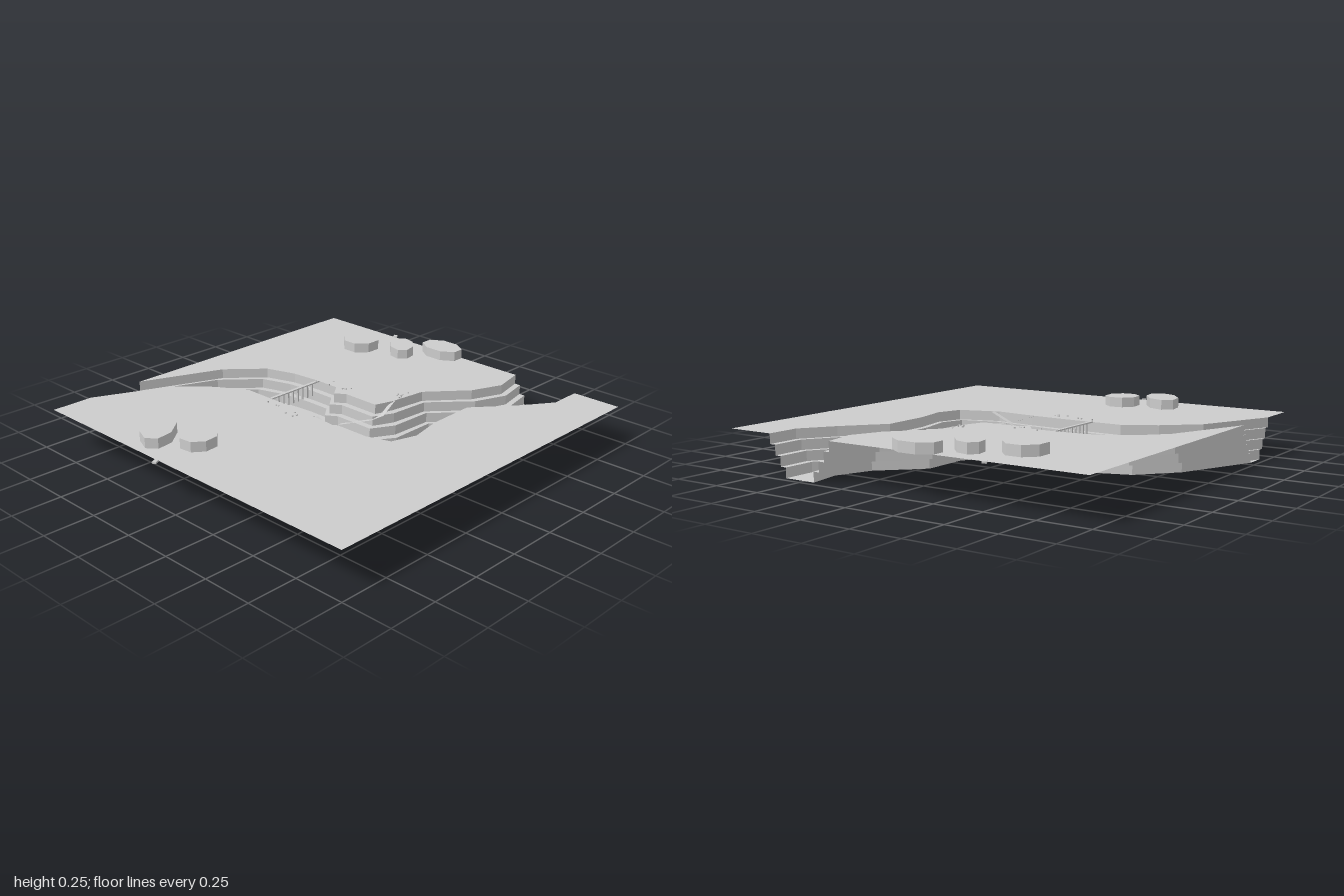
import * as THREE from 'three';

const TOP = 0.195, STEPS = 4, RISE = TOP / STEPS, EDGE = 0.965;
const stone = new THREE.MeshStandardMaterial({ color: 0xcccccc, side: THREE.DoubleSide });
stone.name = 'pale stone';

// Each bank station: inner foot x, z and outer rim x, z
const northBank = [
  [-0.965, 0.545, -0.965, 0.45], [-0.795, 0.15, -0.795, 0.04], [-0.635, -0.03, -0.635, -0.13],
  [-0.48, -0.08, -0.48, -0.18], [-0.32, -0.095, -0.32, -0.195], [-0.2, -0.095, -0.195, -0.195],
  [-0.145, -0.03, -0.145, -0.13], [-0.085, -0.065, -0.095, -0.165], [0.14, -0.065, 0.1, -0.165],
  [0.22, -0.19, 0.13, -0.26], [0.22, -0.43, 0.155, -0.45], [0.41, -0.62, 0.32, -0.64],
  [0.475, -0.8, 0.385, -0.8], [0.445, -0.965, 0.35, -0.965],
];
const southBank = [
  [-0.965, 0.65, -0.965, 0.745], [-0.795, 0.265, -0.795, 0.37], [-0.635, 0.13, -0.635, 0.225],
  [-0.48, 0.035, -0.48, 0.135], [-0.2, 0.035, -0.2, 0.135], [0.03, 0.065, 0.03, 0.145],
  [0.2, 0.095, 0.24, 0.165], [0.37, 0.06, 0.44, 0.1], [0.405, -0.03, 0.48, -0.03],
  [0.355, -0.2, 0.445, -0.2], [0.325, -0.44, 0.44, -0.45], [0.51, -0.64, 0.6, -0.64],
  [0.615, -0.8, 0.71, -0.8], [0.615, -0.965, 0.71, -0.965],
];

const inner = (bank) => bank.map(([x, z]) => [x, z]);
const outer = (bank) => bank.map(([, , x, z]) => [x, z]);

// Flat horizontal polygon from x, z pairs
function sheet(points, y) {
  const shape = new THREE.Shape(points.map(([x, z]) => new THREE.Vector2(x, -z)));
  return new THREE.ShapeGeometry(shape).rotateX(-Math.PI / 2).translate(0, y, 0);
}

// Flat-shaded skin between successive rows of points
function skin(rows, flip) {
  const pos = [];
  for (let r = 0; r < rows.length - 1; r++) {
    for (let i = 0; i < rows[r].length - 1; i++) {
      const a = rows[r][i], b = rows[r][i + 1], c = rows[r + 1][i + 1], d = rows[r + 1][i];
      const quad = flip ? [a, c, b, a, d, c] : [a, b, c, a, c, d];
      quad.forEach((p) => pos.push(...p));
    }
  }
  const geo = new THREE.BufferGeometry();
  geo.setAttribute('position', new THREE.Float32BufferAttribute(pos, 3));
  geo.computeVertexNormals();
  return geo;
}

// Risers and treads climbing from the canyon floor to the rim
function terraces(bank, flip) {
  const rows = [];
  for (let k = 0; k < STEPS; k++) {
    const t = k / (STEPS - 1);
    for (const y of [k * RISE, (k + 1) * RISE]) {
      rows.push(bank.map(([a, b, c, d]) => [a + (c - a) * t, y, b + (d - b) * t]));
    }
  }
  return skin(rows, flip);
}

// Narrow ribbon following a 3D path, level across its width
function ribbon(points, width, samples) {
  let path = points.map((p) => new THREE.Vector3(...p));
  if (samples) path = new THREE.CatmullRomCurve3(path).getPoints(samples);
  const sides = [[], []];
  path.forEach((p, i) => {
    const dir = path[Math.min(i + 1, path.length - 1)].clone().sub(path[Math.max(i - 1, 0)]);
    const n = new THREE.Vector3(dir.z, 0, -dir.x).setLength(width / 2);
    sides[0].push([p.x - n.x, p.y, p.z - n.z]);
    sides[1].push([p.x + n.x, p.y, p.z + n.z]);
  });
  return skin(sides, false);
}

export function createModel() {
  const model = new THREE.Group();
  model.name = 'terracedCanyon';
  const add = (name, geo, parent = model) => {
    const mesh = new THREE.Mesh(geo, stone);
    mesh.name = name;
    parent.add(mesh);
    return mesh;
  };
  const box = (name, w, h, d, x, y, z, parent) =>
    add(name, new THREE.BoxGeometry(w, h, d), parent).position.set(x, y, z);

  // Plateaus, canyon floor and stepped walls
  add('northPlateau', sheet([...outer(northBank), [-EDGE, -EDGE]], TOP));
  add('southPlateau', sheet([...outer(southBank), [0.96, -EDGE], [0.96, 0.96], [-EDGE, 0.96]], TOP));
  add('canyonFloor', sheet([...inner(northBank), ...inner(southBank).reverse()], 0));
  add('northTerraces', terraces(northBank, false));
  add('southTerraces', terraces(southBank, true));

  // Low octagonal mesas: x, z, half length, half width, turn
  const mesas = [
    [-0.515, -0.72, 0.1, 0.1, 0], [-0.29, -0.8, 0.1, 0.065, -0.8], [-0.115, -0.93, 0.12, 0.078, 0],
    [-0.355, 0.8, 0.14, 0.08, -0.9], [-0.16, 0.725, 0.088, 0.092, 0.1],
  ];
  for (const [x, z, a, b, turn] of mesas) {
    const geo = new THREE.CylinderGeometry(1, 1, 0.05, 8).toNonIndexed();
    geo.rotateY(Math.PI / 8).scale(a, 1, b).rotateY(turn);
    geo.computeVertexNormals();
    add('mesa', geo).position.set(x, TOP + 0.025, z);
  }

  // Faint trails on the plateaus
  const trailY = TOP + 0.003;
  const flat = (pts) => pts.map(([x, z]) => [x, trailY, z]);
  add('southTrail', ribbon(flat([[0.95, -0.32], [0.83, -0.29], [0.79, -0.18], [0.72, 0], [0.66, 0.16],
    [0.55, 0.24], [0.35, 0.24], [0.1, 0.21], [-0.18, 0.18], [-0.3, 0.22]]), 0.018, 50));
  add('northTrail', ribbon(flat([[0.18, -0.5], [0.12, -0.42], [0.11, -0.3], [0.03, -0.23],
    [-0.14, -0.22], [-0.3, -0.23]]), 0.018, 30));

  // Sloping footpaths cut across the terraces
  add('southFootpath', ribbon([[0.27, TOP, 0.15], [0.13, 0.14, 0.135], [0.02, 0.13, 0.115],
    [-0.2, 0.05, 0.055], [-0.25, 0.05, 0.05]], 0.025));
  add('southUpperFootpath', ribbon([[0.0, TOP, 0.14], [0.18, 0.14, 0.14], [0.23, 0.14, 0.135],
    [0.4, 0.065, 0.06]], 0.02));
  add('northFootpath', ribbon([[0.125, TOP, -0.27], [0.14, 0.15, -0.17], [0.11, 0.13, -0.13],
    [-0.06, 0.07, -0.08]], 0.02));

  // Trestle bridge across the gorge
  const bridge = new THREE.Group();
  bridge.name = 'trestleBridge';
  model.add(bridge);
  box('deck', 0.016, 0.006, 0.33, -0.32, TOP, -0.03, bridge);
  for (let i = 0; i < 8; i++) {
    box('trestlePost', 0.01, 0.065, 0.008, -0.32, TOP - 0.035, -0.145 + i * 0.033, bridge);
  }
  box('anchorPost', 0.01, 0.07, 0.008, -0.32, 0.105, 0.102, bridge);

  // Low footbridge near the floor
  box('footbridge', 0.014, 0.006, 0.12, -0.24, 0.055, -0.01);
  box('footbridgeLanding', 0.025, 0.012, 0.025, -0.24, 0.06, -0.06);

  // Small marker slabs at the plateau edges
  for (const [x, z, turn] of [[-0.155, 0.975, 0.5], [-0.49, -0.975, 0.5]]) {
    const slab = add('markerSlab', new THREE.BoxGeometry(0.02, 0.008, 0.03));
    slab.position.set(x, TOP, z);
    slab.rotation.y = turn;
  }

  // Pebbles scattered along the rims
  let seed = 7;
  const rand = () => (seed = (seed * 16807) % 2147483647) / 2147483647;
  for (const [x, z, dx, dz] of [[-0.2, -0.21, 0.12, 0.04], [0.11, -0.34, 0.02, 0.05], [-0.2, 0.19, 0.14, 0.03]]) {
    for (let i = 0; i < 7; i++) {
      box('pebble', 0.007, 0.007, 0.007, x + (rand() * 2 - 1) * dx, TOP + 0.003, z + (rand() * 2 - 1) * dz);
    }
  }
  return model;
}
